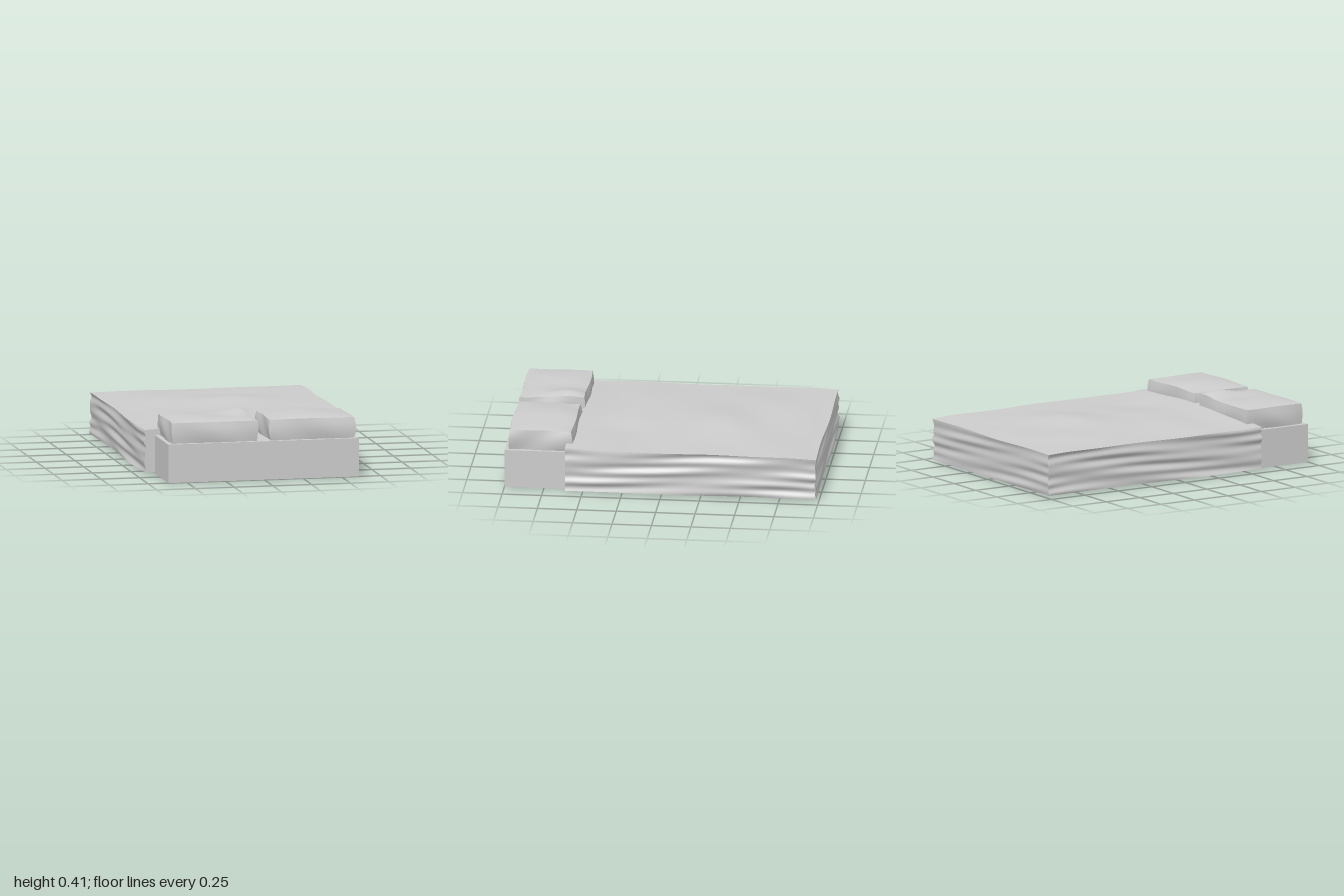
import * as THREE from 'three';

const grey = new THREE.MeshStandardMaterial({ color: 0xcccccc });

// Smooth hill used to raise or sink the cloth: [x, z, height, radiusX, radiusZ]
const hills = (list, x, z) => list.reduce((sum, [cx, cz, h, rx, rz]) =>
  sum + h * Math.exp(-(((x - cx) / rx) ** 2) - ((z - cz) / rz) ** 2), 0);

// Segmented block between two corners whose vertices are moved by a rule
function softBlock(name, min, max, segments, rule) {
  const size = max.map((v, i) => v - min[i]);
  const geo = new THREE.BoxGeometry(...size, ...segments);
  geo.translate(...max.map((v, i) => (v + min[i]) / 2));
  const pos = geo.attributes.position;
  const p = new THREE.Vector3();
  for (let i = 0; i < pos.count; i++) {
    p.fromBufferAttribute(pos, i);
    // u, t, w: place inside the block; u and w run -1..1, t runs 0..1
    const u = 2 * (p.x - min[0]) / size[0] - 1;
    const t = (p.y - min[1]) / size[1];
    const w = 2 * (p.z - min[2]) / size[2] - 1;
    rule(p, u, t, w);
    pos.setXYZ(i, p.x, p.y, p.z);
  }
  geo.computeVertexNormals();
  const mesh = new THREE.Mesh(geo, grey);
  mesh.name = name;
  return mesh;
}

// Long horizontal folds on the hanging sides of the blanket
const folds = (y, s) =>
  0.007 * Math.sin(y * 95 + 1.3 * Math.sin(s * 3.1)) * (0.6 + 0.4 * Math.sin(s * 5.3 + y * 20)) +
  0.004 * Math.sin(s * 7 + y * 45) + 0.003 * Math.sin(s * 3.7 + 1);

function createBlanket() {
  const bumps = [
    [0.1, -0.35, 0.032, 0.28, 0.2], [0, 0.6, 0.03, 0.5, 0.16], [0.55, 0.6, 0.012, 0.2, 0.1],
    [0, 0.1, 0.018, 0.5, 0.5], [-0.35, -0.55, 0.012, 0.25, 0.25], [0.25, 0.25, -0.012, 0.15, 0.15],
    [-0.3, 0.2, 0.01, 0.2, 0.15], [0, -1, -0.01, 1, 0.12], [-0.68, 0, -0.008, 0.15, 0.8],
  ];
  return softBlock('blanket', [-0.678, 0.01, -0.98], [0.668, 0.28, 0.61], [40, 28, 48], (p, u, t, w) => {
    const { x, y, z } = p;
    p.y += t * (hills(bumps, x, z) + 0.003 * Math.sin(x * 9 + z * 4) * Math.sin(z * 7));
    p.x += u ** 9 * (0.006 + folds(y, z + (u > 0 ? 2 : 0)));
    if (w < 0) p.z += w ** 9 * 0.7 * folds(y, x + 4);
  });
}

// Pillow with a puffed top, swollen sides and slightly wavy edges
function createPillow(name, x0, x1, z0, bumps, phase) {
  return softBlock(name, [x0, 0.24, z0], [x1, 0.375, 0.975], [24, 12, 20], (p, u, t, w) => {
    const { x, y, z } = p;
    const swell = 0.008 * Math.sin(Math.PI * t) - 0.004;
    p.y += t ** 2 * (0.012 * (1 - u ** 4) * (1 - w ** 4) + hills(bumps, x, z));
    p.x += u ** 5 * (swell + 0.005 * Math.sin(z * 17 + y * 25 + phase));
    p.z += w ** 5 * (swell + 0.004 * Math.sin(x * 14 + y * 20 + phase));
  });
}

export function createModel() {
  const model = new THREE.Group();
  model.name = 'bed';

  // Plain block mattress reaching out in front of the blanket
  const base = new THREE.Mesh(new THREE.BoxGeometry(1.23, 0.245, 1.96), grey);
  base.position.set(-0.005, 0.1225, 0.02);
  base.name = 'mattress';
  model.add(base, createBlanket());

  model.add(
    createPillow('rightPillow', -0.592, -0.035, 0.56,
      [[-0.09, 0.66, 0.03, 0.09, 0.12], [-0.4, 0.8, 0.006, 0.15, 0.15], [-0.25, 0.72, -0.008, 0.1, 0.12]], 0),
    createPillow('leftPillow', 0.042, 0.588, 0.572,
      [[0.28, 0.75, 0.013, 0.14, 0.2], [0.1, 0.62, -0.006, 0.1, 0.1], [0.5, 0.62, -0.006, 0.1, 0.1]], 2),
  );
  return model;
}
